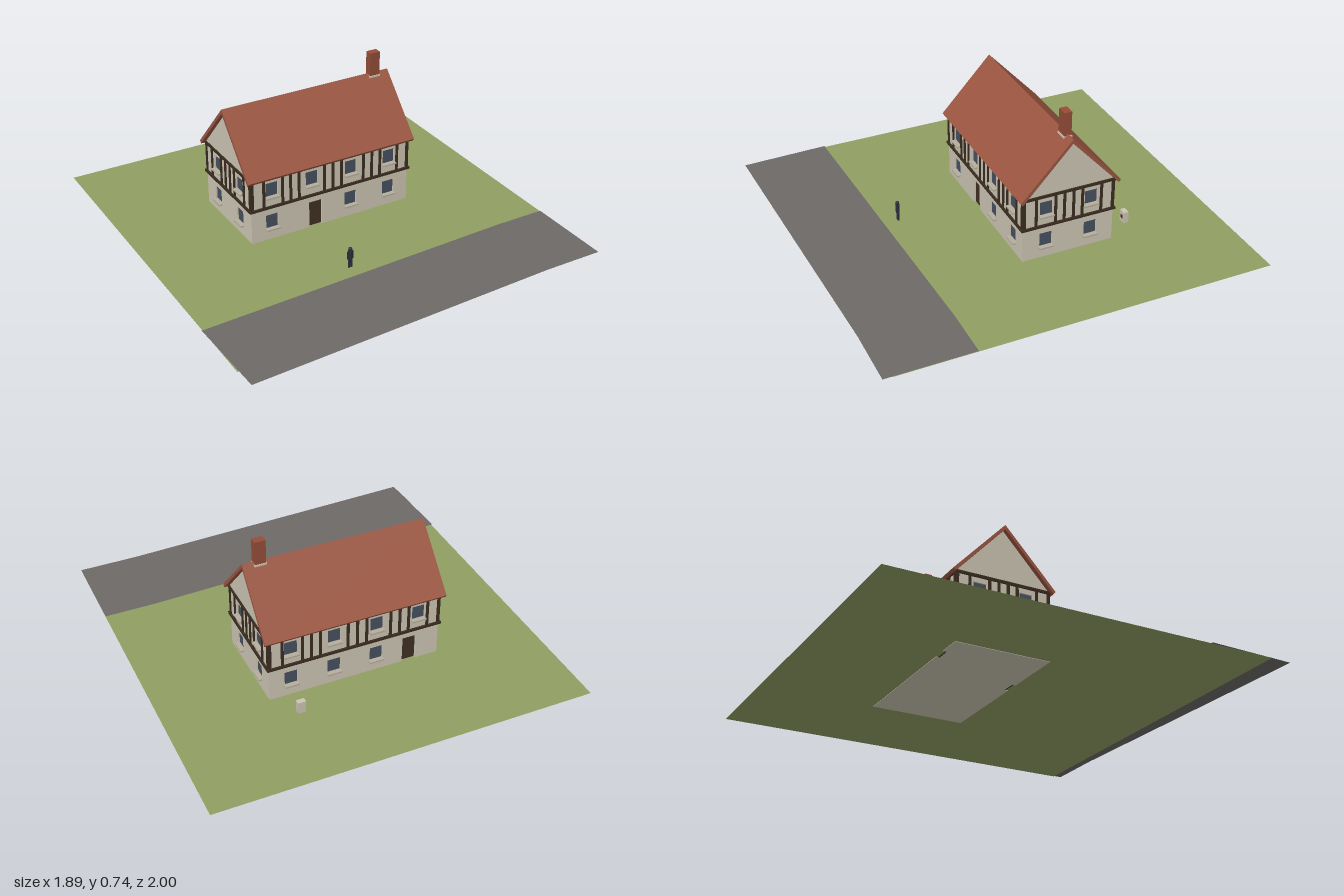
import * as THREE from 'three';

const mat = (name, color, side = THREE.FrontSide) => {
  const m = new THREE.MeshStandardMaterial({ color, side });
  m.name = name;
  return m;
};

export function createModel() {
  const plaster = mat('plaster', 0xcbc4b2);
  const timber = mat('dark timber', 0x3a2c1f);
  const tile = mat('roof tile', 0x9a5541);
  const brick = mat('chimney brick', 0x934c38);
  const glass = mat('window glass', 0x465060);
  const sillStone = mat('sill stone', 0xb5ad9c);
  const doorWood = mat('door wood', 0x402f22);
  const grass = mat('grass', 0x909f63, THREE.DoubleSide);
  const asphalt = mat('asphalt', 0x6c6967, THREE.DoubleSide);
  const cloth = mat('dark cloth', 0x2a2e38);

  const model = new THREE.Group();
  model.name = 'timberFramedHouse';

  const add = (parent, name, geo, material, x = 0, y = 0, z = 0) => {
    const m = new THREE.Mesh(geo, material);
    m.name = name;
    m.position.set(x, y, z);
    parent.add(m);
    return m;
  };
  const box = (parent, name, material, w, h, d, x, y, z) =>
    add(parent, name, new THREE.BoxGeometry(w, h, d), material, x, y, z);

  // Ground: square lawn and a slightly skewed road laid over its front edge
  const flat = (name, pts, material, y) => {
    const s = new THREE.Shape(pts.map(([x, z]) => new THREE.Vector2(x, -z)));
    add(model, name, new THREE.ShapeGeometry(s), material, 0, y, 0).rotation.x = -Math.PI / 2;
  };
  flat('lawn', [[-0.945, 0.89], [0.945, 0.89], [0.945, -1], [-0.945, -1]], grass, 0.002);
  flat('road', [[-0.95, 0.56], [-0.935, 1], [0.64, 0.935], [0.945, 0.935], [0.945, 0.495], [0.68, 0.495]], asphalt, 0.005);

  // House body, centred on its own ridge line
  const house = new THREE.Group();
  house.name = 'house';
  house.position.z = -0.191;
  model.add(house);

  const HX = 0.438, HZ = 0.237, FLOOR2 = 0.18, EAVES = 0.346;
  const WALL = 0.016, WIN_W = 0.066, WIN_H = 0.076, DOOR_W = 0.072, DOOR_H = 0.14;

  // Wall panel facing local +z with window holes and an optional door notch
  const wallPanel = (side, name, half, y0, y1, windows, winY, doorX) => {
    const s = new THREE.Shape();
    s.moveTo(-half, y0);
    if (doorX !== undefined) {
      const a = doorX - DOOR_W / 2, b = doorX + DOOR_W / 2;
      s.lineTo(a, y0).lineTo(a, DOOR_H).lineTo(b, DOOR_H).lineTo(b, y0);
      box(side, 'door', doorWood, DOOR_W, DOOR_H, 0.006, doorX, DOOR_H / 2, -WALL + 0.001);
    }
    s.lineTo(half, y0).lineTo(half, y1).lineTo(-half, y1).closePath();
    for (const x of windows) {
      const w = WIN_W / 2, h = WIN_H / 2, p = new THREE.Path();
      p.moveTo(x - w, winY - h).lineTo(x - w, winY + h).lineTo(x + w, winY + h).lineTo(x + w, winY - h).closePath();
      s.holes.push(p);
      box(side, 'windowPane', glass, WIN_W, WIN_H, 0.006, x, winY, -0.011);
      box(side, 'windowSill', sillStone, WIN_W + 0.008, 0.008, 0.026, x, winY - h - 0.002, 0.004);
    }
    add(side, name, new THREE.ExtrudeGeometry(s, { depth: WALL, bevelEnabled: false }), plaster, 0, 0, -WALL);
  };

  const longWindows = [-0.327, -0.109, 0.109, 0.327];
  const longPosts = [-0.432, -0.371, -0.27, -0.226, -0.18, -0.04, 0.008, 0.056, 0.18, 0.228, 0.275, 0.374, 0.432];
  const endWindows = [-0.117, 0.117];
  const endPosts = [-0.231, -0.17, -0.07, -0.024, 0.024, 0.07, 0.17, 0.231];

  // half width, distance out, turn, windows, posts, lower windows, door position
  const sides = [
    ['front', HX, HZ, 0, longWindows, longPosts, [-0.327, 0.109, 0.327], -0.088],
    ['back', HX, HZ, Math.PI, longWindows, longPosts, [-0.327, -0.109, 0.109], 0.285],
    ['left', HZ, HX, Math.PI / 2, endWindows, endPosts, endWindows],
    ['right', HZ, HX, -Math.PI / 2, endWindows, endPosts, endWindows],
  ];
  for (const [name, half, out, turn, windows, posts, lower, doorX] of sides) {
    const side = new THREE.Group();
    side.name = name + 'Side';
    side.rotation.y = turn;
    side.position.set(Math.sin(turn) * out, 0, Math.cos(turn) * out);
    house.add(side);
    wallPanel(side, 'lowerWall', half, 0, FLOOR2, lower, 0.099, doorX);
    wallPanel(side, 'upperWall', half, FLOOR2, EAVES, windows, 0.272);
    // Timber frame
    for (const x of posts) box(side, 'timberPost', timber, 0.013, EAVES - FLOOR2, 0.01, x, (EAVES + FLOOR2) / 2, 0.001);
    box(side, 'floorBeam', timber, 2 * half + 0.02, 0.012, 0.014, 0, FLOOR2, 0.003);
    box(side, 'eavesBeam', timber, 2 * half + 0.014, 0.014, 0.012, 0, EAVES - 0.005, 0.001);
  }
  box(house, 'floorSlab', plaster, 2 * (HX - WALL), 0.01, 2 * (HZ - WALL), 0, 0.005, 0);

  // Profiles drawn in (z, y) and extruded along x
  const alongX = (name, pts, length, material) => {
    const s = new THREE.Shape(pts.map(([z, y]) => new THREE.Vector2(-z, y)));
    const g = new THREE.ExtrudeGeometry(s, { depth: length, bevelEnabled: false });
    g.translate(0, 0, -length / 2).rotateY(Math.PI / 2);
    add(house, name, g, material);
  };
  alongX('gable', [[-0.239, 0.346], [0.239, 0.346], [0, 0.604]], 2 * HX, plaster);
  alongX('roof', [[0, 0.625], [0.26, 0.345], [0.25, 0.331], [0, 0.603], [-0.25, 0.331], [-0.26, 0.345]], 0.922, tile);

  // Chimney with pale flashing at its foot
  box(house, 'chimney', brick, 0.055, 0.145, 0.038, 0.377, 0.6635, 0);
  box(house, 'chimneyFlashing', plaster, 0.06, 0.01, 0.044, 0.377, 0.61, 0);

  // Small stone post behind the house
  box(model, 'stonePost', plaster, 0.04, 0.06, 0.026, 0.335, 0.032, -0.557);
  box(model, 'stonePostPlate', timber, 0.016, 0.016, 0.004, 0.335, 0.032, -0.543);

  // Standing figure by the road
  const person = new THREE.Group();
  person.name = 'person';
  person.position.set(-0.135, 0.002, 0.45);
  model.add(person);
  for (const s of [-1, 1]) {
    add(person, 'leg', new THREE.CylinderGeometry(0.006, 0.005, 0.052, 8), cloth, s * 0.006, 0.026, 0);
    add(person, 'arm', new THREE.CylinderGeometry(0.0035, 0.003, 0.042, 8), cloth, s * 0.013, 0.067, 0);
  }
  add(person, 'torso', new THREE.CylinderGeometry(0.011, 0.01, 0.045, 10), cloth, 0, 0.069, 0);
  add(person, 'head', new THREE.SphereGeometry(0.009, 12, 8), cloth, 0, 0.1, 0);

  return model;
}
